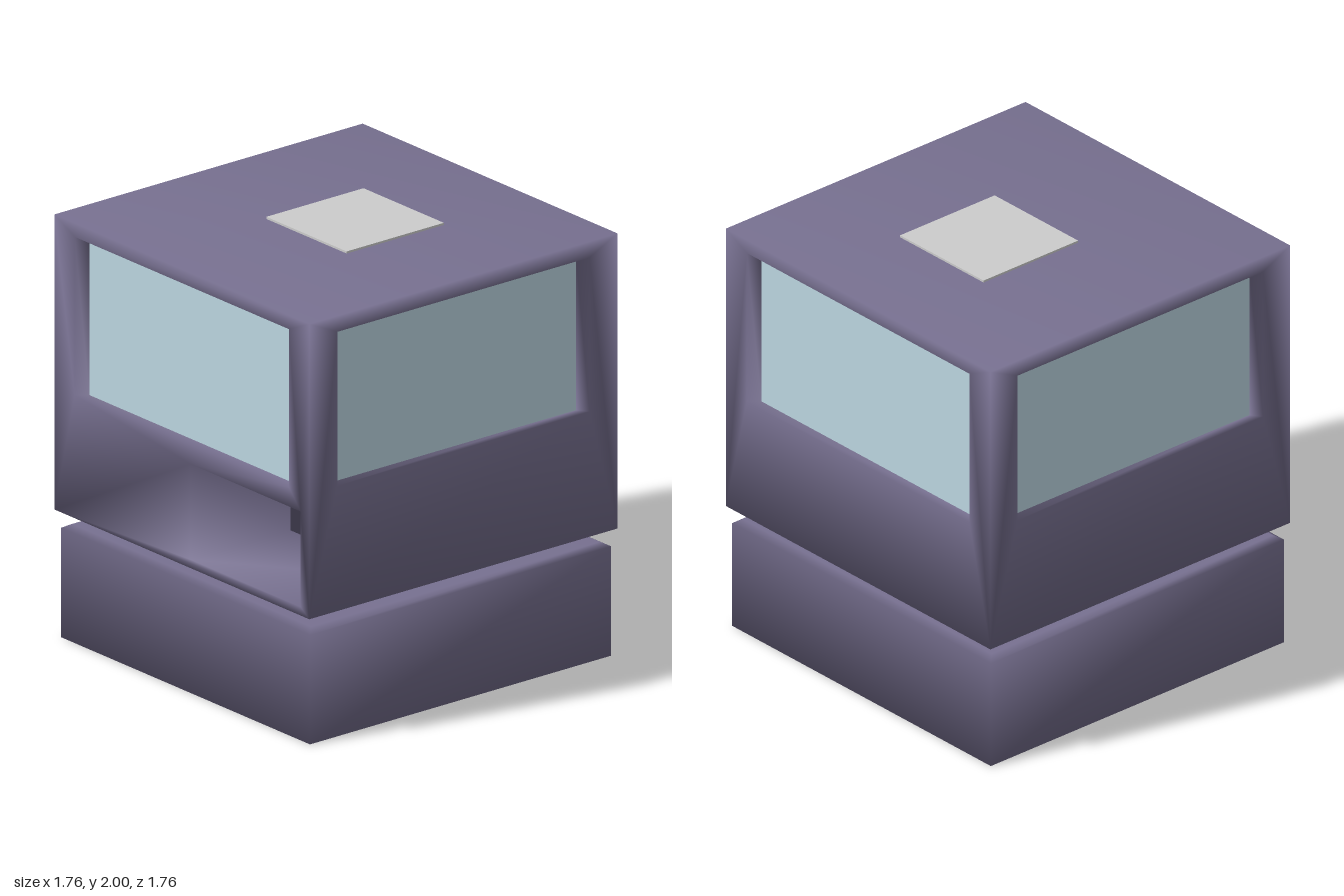
import * as THREE from 'three';
import { mergeGeometries, mergeVertices } from 'three/addons/utils/BufferGeometryUtils.js';
import { ConvexGeometry } from 'three/addons/geometries/ConvexGeometry.js';

const HALF = 0.88, BOTTOM = 0.6, TOP = 1.99;

const mat = (color) => new THREE.MeshStandardMaterial({ color });

// Corners of a rectangle, counter-clockwise
const corners = ([x0, x1, y0, y1]) => [[x0, y0], [x1, y0], [x1, y1], [x0, y1]];
const outline = (rect) => corners(rect).map(([x, y]) => new THREE.Vector2(x, y));

// Join pieces and average the normals for soft shading over every edge
function smooth(parts) {
  const bare = parts.map((p) => {
    p.deleteAttribute('normal');
    p.deleteAttribute('uv');
    return p;
  });
  const g = mergeVertices(mergeGeometries(bare), 1e-4);
  g.computeVertexNormals();
  return g;
}

// Inner sides of a recess running from an outer to an inner rectangle
function reveal(outer, inner, depth) {
  const pos = [], idx = [];
  corners(outer).forEach(([x, y]) => pos.push(x, y, HALF));
  corners(inner).forEach(([x, y]) => pos.push(x, y, HALF - depth));
  for (let i = 0; i < 4; i++) {
    const j = (i + 1) % 4;
    idx.push(i, j, j + 4, i, j + 4, i + 4);
  }
  const g = new THREE.BufferGeometry();
  g.setAttribute('position', new THREE.Float32BufferAttribute(pos, 3));
  g.setIndex(idx);
  return g;
}

// Flat rectangle facing +z
function pane([x0, x1, y0, y1], z) {
  return new THREE.PlaneGeometry(x1 - x0, y1 - y0).translate((x0 + x1) / 2, (y0 + y1) / 2, z);
}

// Horizontal square sheet facing up or down
function sheet(half, y, up) {
  return new THREE.PlaneGeometry(half * 2, half * 2).rotateX(up ? -Math.PI / 2 : Math.PI / 2).translate(0, y, 0);
}

export function createModel() {
  const model = new THREE.Group();
  model.name = 'boxCab';
  const body = mat(0x777090), glass = mat(0xbbd5e0), dark = mat(0x3a3648), grey = mat(0xcccccc);
  const add = (name, geometry, material) => {
    const m = new THREE.Mesh(geometry, material);
    m.name = name;
    model.add(m);
    return m;
  };

  // Cab: four walls with recessed windows, a front compartment, roof and floor
  const bay = [0.06, 0.82, 0.64, 1.09], bayDepth = 0.57, paneDepth = 0.05;
  const shell = [sheet(HALF, TOP, true), sheet(HALF, BOTTOM, false)];
  ['front', 'left', 'back', 'right'].forEach((side, i) => {
    const turn = i * Math.PI / 2;
    const [outerX, innerX, y0, y1] = i % 2 ? [0.72, 0.685, 1.19, 1.915] : [0.74, 0.70, 1.18, 1.925];
    const outer = [-outerX, outerX, y0, y1], inner = [-innerX, innerX, y0, y1];
    const wall = new THREE.Shape(outline([-HALF, HALF, BOTTOM, TOP]));
    wall.holes.push(new THREE.Path(outline(outer)));
    if (i === 0) {
      wall.holes.push(new THREE.Path(outline(bay)));
      shell.push(reveal(bay, bay, bayDepth));
    }
    shell.push(new THREE.ShapeGeometry(wall).translate(0, 0, HALF).rotateY(turn));
    shell.push(reveal(outer, inner, paneDepth).rotateY(turn));
    add(side + 'Window', pane(inner, HALF - paneDepth).rotateY(turn), glass);
  });
  add('cab', smooth(shell), body);
  add('compartmentBack', pane(bay, HALF - bayDepth), dark);

  // Roof hatch
  add('roofHatch', new THREE.BoxGeometry(0.555, 0.02, 0.555), grey).position.set(0.035, 1.99, -0.08);

  // Base block with a small chamfer around its top edge
  const rings = [[0.86, 0], [0.86, 0.515], [0.825, 0.535]];
  const basePos = [], baseIdx = [];
  rings.forEach(([h, y]) => basePos.push(-h, y, h, h, y, h, h, y, -h, -h, y, -h));
  for (let r = 0; r < 2; r++) {
    for (let i = 0; i < 4; i++) {
      const a = r * 4 + i, b = r * 4 + (i + 1) % 4;
      baseIdx.push(a, b, b + 4, a, b + 4, a + 4);
    }
  }
  baseIdx.push(8, 9, 10, 8, 10, 11, 0, 2, 1, 0, 3, 2);
  const base = new THREE.BufferGeometry();
  base.setAttribute('position', new THREE.Float32BufferAttribute(basePos, 3));
  base.setIndex(baseIdx);
  base.computeVertexNormals();
  add('base', base, body);

  // Swivel neck between base and cab
  add('neck', smooth([new THREE.BoxGeometry(0.22, 0.1, 0.22)]), body).position.y = 0.57;

  // Small wedge poking out under the cab floor
  const wedge = [
    [-0.31, 0.605, 0.15], [-0.2, 0.605, 0.22], [-0.1, 0.605, 0.16], [-0.12, 0.605, -0.02],
    [-0.28, 0.605, -0.02], [-0.27, 0.56, 0.08], [-0.23, 0.56, 0.09], [-0.24, 0.56, 0.03],
  ].map((p) => new THREE.Vector3(...p));
  add('underWedge', new ConvexGeometry(wedge), grey);

  return model;
}
